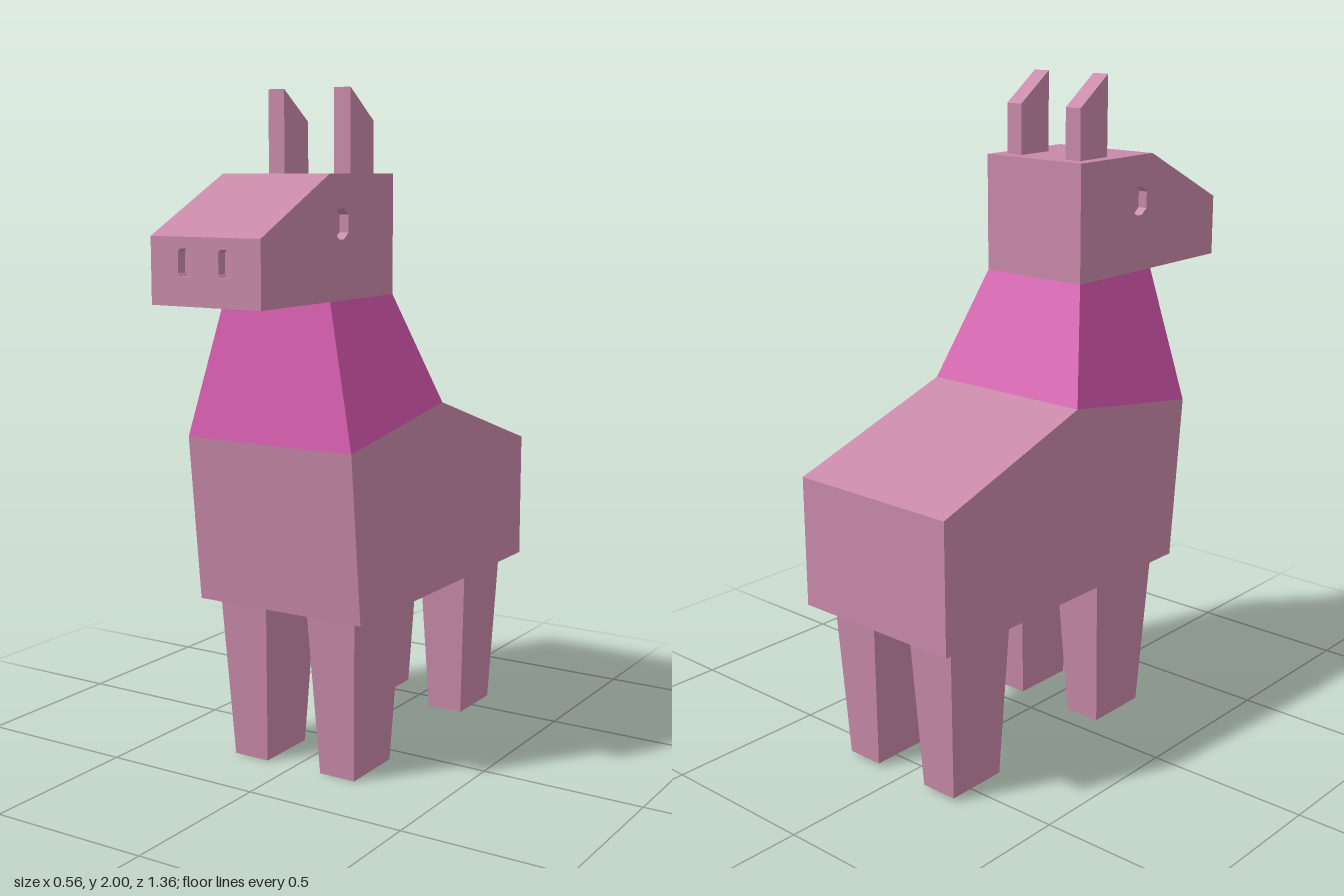
import * as THREE from 'three';
import { mergeGeometries } from 'three/addons/utils/BufferGeometryUtils.js';

const mauve = new THREE.MeshStandardMaterial({ color: 0xc788a8, flatShading: true });
const magenta = new THREE.MeshStandardMaterial({ color: 0xd557ad, flatShading: true });

const toPoints = (list) => list.map(([x, y]) => new THREE.Vector2(x, y));

// Side profile given as [z, y], extruded across x
function prism(profile, x0, x1) {
  const shape = new THREE.Shape(toPoints(profile.map(([z, y]) => [-z, y])));
  return new THREE.ExtrudeGeometry(shape, { depth: x1 - x0, bevelEnabled: false })
    .rotateY(Math.PI / 2).translate(x0, 0, 0);
}

// Box whose corners are placed by rule: each end is { x: [min, max], z: [back, front], y: [back, front] }
function taperedBox(bottom, top) {
  const g = new THREE.BoxGeometry(1, 1, 1);
  const p = g.attributes.position;
  for (let i = 0; i < p.count; i++) {
    const end = p.getY(i) > 0 ? top : bottom;
    const front = p.getZ(i) > 0 ? 1 : 0;
    p.setXYZ(i, end.x[p.getX(i) > 0 ? 1 : 0], end.y[front], end.z[front]);
  }
  g.computeVertexNormals();
  return g;
}

// Triangles from quads with counter-clockwise corners
function quads(list) {
  const pos = [];
  for (const [a, b, c, d] of list) pos.push(...a, ...b, ...c, ...a, ...c, ...d);
  const g = new THREE.BufferGeometry();
  g.setAttribute('position', new THREE.Float32BufferAttribute(pos, 3));
  g.computeVertexNormals();
  return g;
}

// Flat panel facing +z with sunken holes (holes are counter-clockwise)
function panel(outline, holes, depth) {
  const shape = new THREE.Shape(toPoints(outline));
  const parts = [];
  for (const hole of holes) {
    shape.holes.push(new THREE.Path(toPoints(hole)));
    parts.push(new THREE.ShapeGeometry(new THREE.Shape(toPoints(hole))).translate(0, 0, -depth).toNonIndexed());
    parts.push(quads(hole.map(([x, y], i) => {
      const [u, v] = hole[(i + 1) % hole.length];
      return [[x, y, 0], [u, v, 0], [u, v, -depth], [x, y, -depth]];
    })));
  }
  parts.push(new THREE.ShapeGeometry(shape).toNonIndexed());
  parts.forEach((g) => g.deleteAttribute('uv'));
  return mergeGeometries(parts);
}

// Upright rectangle with clipped corners, counter-clockwise
function clippedRect(cx, cy, w, h, cutX, cutY) {
  return [[-w + cutX, -h], [w - cutX, -h], [w, -h + cutY], [w, h - cutY],
    [w - cutX, h], [-w + cutX, h], [-w, h - cutY], [-w, -h + cutY]]
    .map(([x, y]) => [cx + x, cy + y]);
}

function headGeometry() {
  const hw = 0.18;
  const profile = [[0.68, 1.41], [0.68, 1.595], [0.35, 1.76], [0.01, 1.76], [0.01, 1.41]];
  const eye = (side) => clippedRect(side * 0.29, 1.622, 0.035, 0.043, 0.024, 0.018);
  const sides = [1, -1].map((s) =>
    panel(profile.map(([z, y]) => [-s * z, y]), [eye(-s)], 0.03)
      .rotateY(s * Math.PI / 2).translate(s * hw, 0, 0));
  // Muzzle end with nostrils
  const nostrils = [-1, 1].map((s) => clippedRect(s * 0.0665, 1.527, 0.022, 0.037, 0.007, 0.009));
  const nose = panel([[-hw, 1.41], [hw, 1.41], [hw, 1.595], [-hw, 1.595]], nostrils, 0.03)
    .translate(0, 0, 0.68);
  // Brow, crown, back and jaw
  const shell = quads([1, 2, 3, 4].map((i) => {
    const [z0, y0] = profile[i], [z1, y1] = profile[(i + 1) % 5];
    return [[-hw, y0, z0], [hw, y0, z0], [hw, y1, z1], [-hw, y1, z1]];
  }));
  return mergeGeometries([...sides, nose, shell]);
}

export function createModel() {
  const model = new THREE.Group();
  const add = (name, geometry, material = mauve) => {
    const mesh = new THREE.Mesh(geometry, material);
    mesh.name = name;
    model.add(mesh);
  };

  // Body with sloping back
  add('body', prism([[0.35, 0.5], [0.4, 1.0], [-0.12, 1.08], [-0.675, 0.895], [-0.675, 0.5]], -0.28, 0.28));

  // Coloured neck
  add('neck', taperedBox(
    { x: [-0.28, 0.28], z: [-0.12, 0.4], y: [1.08, 1.0] },
    { x: [-0.18, 0.18], z: [0.01, 0.35], y: [1.41, 1.41] }), magenta);

  add('head', headGeometry());

  // Ears and legs, mirrored left and right
  for (const [side, s] of [['left', 1], ['right', -1]]) {
    const span = (a, b) => (s > 0 ? [a, b] : [-b, -a]);
    add(side + 'Ear', prism([[0.18, 1.76], [0.18, 2.0], [0.055, 1.91], [0.055, 1.76]], ...span(0.085, 0.14)));
    add(side + 'FrontLeg', taperedBox(
      { x: span(0.095, 0.213), z: [0.07, 0.275], y: [0, 0] },
      { x: span(0.072, 0.235), z: [0.037, 0.31], y: [0.5, 0.5] }));
    add(side + 'BackLeg', taperedBox(
      { x: span(0.095, 0.213), z: [-0.585, -0.39], y: [0.01, 0.01] },
      { x: span(0.072, 0.235), z: [-0.61, -0.365], y: [0.5, 0.5] }));
  }
  return model;
}
